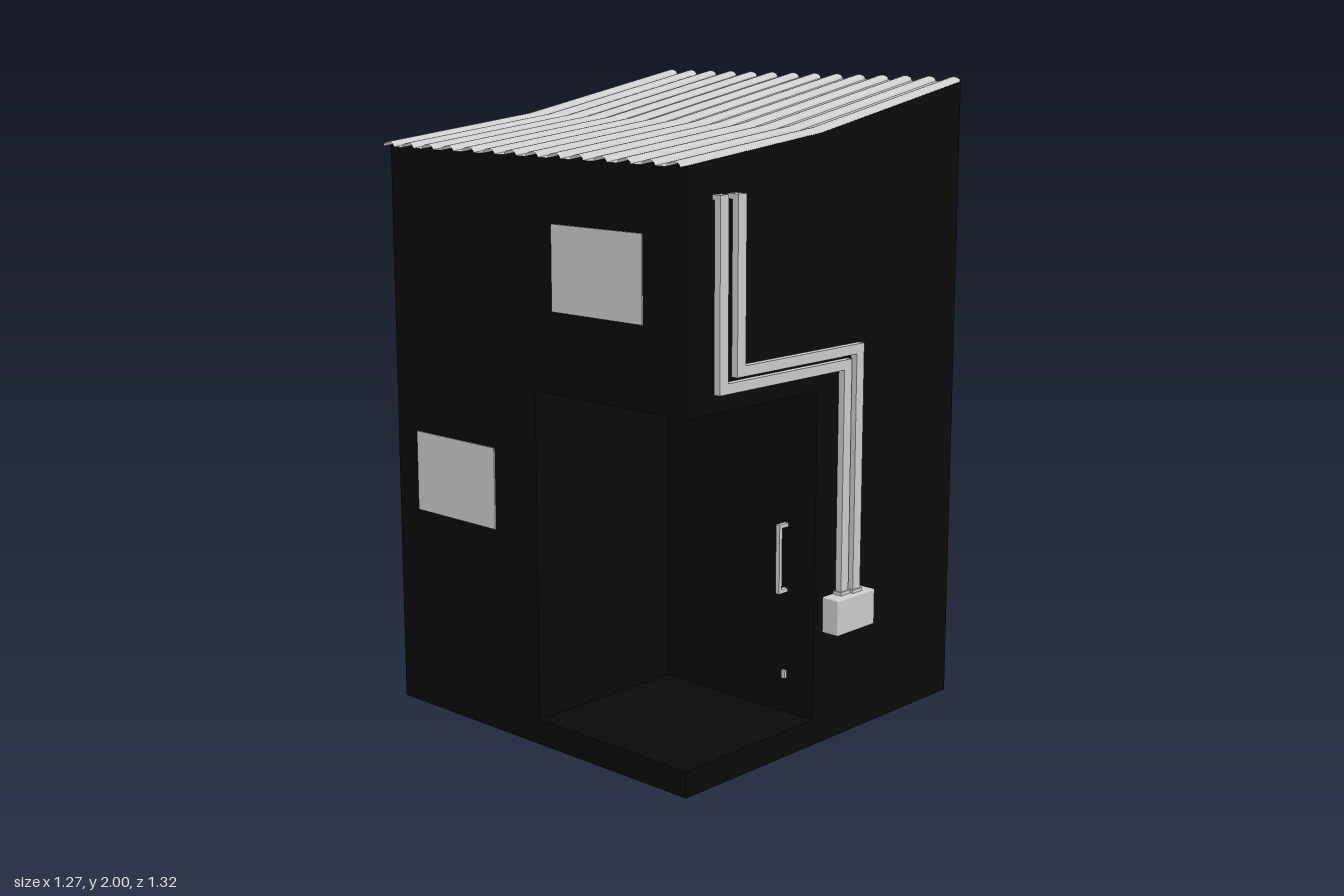
import * as THREE from 'three';
import { toCreasedNormals } from 'three/addons/utils/BufferGeometryUtils.js';
import { RoundedBoxGeometry } from 'three/addons/geometries/RoundedBoxGeometry.js';

const black = new THREE.MeshStandardMaterial({ color: 0x0a0a0a, side: THREE.DoubleSide });
const grey = new THREE.MeshStandardMaterial({ color: 0xcccccc });
const sheet = new THREE.MeshStandardMaterial({ color: 0xcccccc, side: THREE.DoubleSide });

// Main dimensions
const L = -0.615, R = 0.635, F = 0.6, B = -0.655;
const KINK = -0.04, ALCOVE_X = -0.05, ALCOVE_Z = -0.01, STEP = 0.08, CEIL = 1.1;
const EAVE = -0.638;

// Height of the bent roof at x
function roofY(x) {
  return x < KINK
    ? THREE.MathUtils.mapLinear(x, EAVE, KINK, 1.79, 1.857)
    : THREE.MathUtils.mapLinear(x, KINK, R, 1.857, 1.985);
}

function add(parent, name, geometry, material) {
  const mesh = new THREE.Mesh(geometry, material);
  mesh.name = name;
  parent.add(mesh);
  return mesh;
}

function outline(points) {
  return new THREE.Shape(points.map(([u, v]) => new THREE.Vector2(u, v)));
}

const rect = (u0, u1, v0, v1) => [[u0, v0], [u1, v0], [u1, v1], [u0, v1]];

// Flat wall: 'z' takes (x, y) points, 'x' takes (z, y), 'y' takes (x, z)
function wall(parent, name, axis, at, points) {
  const g = new THREE.ShapeGeometry(outline(points));
  if (axis === 'x') g.rotateY(-Math.PI / 2).translate(at, 0, 0);
  else if (axis === 'y') g.rotateX(Math.PI / 2).translate(0, at, 0);
  else g.translate(0, 0, at);
  return add(parent, name, g, black);
}

function box(parent, name, x0, x1, y0, y1, z0, z1, material = grey) {
  const g = new THREE.BoxGeometry(x1 - x0, y1 - y0, z1 - z0);
  g.translate((x0 + x1) / 2, (y0 + y1) / 2, (z0 + z1) / 2);
  return add(parent, name, g, material);
}

// Thin-walled shell, open below, with an entrance alcove in one front corner
function buildBody() {
  const body = new THREE.Group();
  body.name = 'body';
  const top = [[R, roofY(R)], [KINK, roofY(KINK)], [L, roofY(L)]];
  wall(body, 'frontWall', 'z', F, [[L, 0], [R, 0], ...top,
    [L, CEIL], [ALCOVE_X, CEIL], [ALCOVE_X, STEP], [L, STEP]]);
  wall(body, 'backWall', 'z', B, [[L, 0], [R, 0], ...top]);
  wall(body, 'tallSideWall', 'x', R, rect(B, F, 0, roofY(R)));
  wall(body, 'lowSideWall', 'x', L, [[B, 0], [F, 0], [F, STEP], [ALCOVE_Z, STEP],
    [ALCOVE_Z, CEIL], [F, CEIL], [F, roofY(L)], [B, roofY(L)]]);
  wall(body, 'alcoveBackWall', 'z', ALCOVE_Z, rect(L, ALCOVE_X, STEP, CEIL));
  wall(body, 'door', 'x', ALCOVE_X, rect(ALCOVE_Z, F, STEP, CEIL));
  wall(body, 'alcoveCeiling', 'y', CEIL, rect(L, ALCOVE_X, ALCOVE_Z, F));
  wall(body, 'stepTop', 'y', STEP, rect(L, ALCOVE_X, ALCOVE_Z, F));
  wall(body, 'stepUnderside', 'y', 0, rect(L, ALCOVE_X, ALCOVE_Z, F));
  return body;
}

// Corrugated sheet: rounded ribs with flat strips between, bent along one line
function buildRoof() {
  const roof = new THREE.Group();
  roof.name = 'roof';
  const RIBS = 14, STEPS = 8, PITCH = 0.0931, WIDTH = 0.052, Z0 = -0.664;
  const profile = [];
  for (let i = 0; i < RIBS; i++) {
    for (let j = 0; j <= STEPS; j++) {
      const a = (j / STEPS) * Math.PI;
      profile.push([Z0 + i * PITCH + WIDTH * (1 - Math.cos(a)) / 2, 0.015 * Math.sin(a)]);
    }
  }
  for (const [name, x0, x1] of [['lowRoofSheet', EAVE, KINK], ['highRoofSheet', KINK, R]]) {
    const g = new THREE.PlaneGeometry(1, 1, 1, profile.length - 1);
    const p = g.attributes.position;
    for (let i = 0; i < p.count; i++) {
      const x = i % 2 ? x1 : x0;
      const [z, lift] = profile[i >> 1];
      p.setXYZ(i, x, roofY(x) + lift, z);
    }
    add(roof, name, toCreasedNormals(g, 0.7), sheet);
  }
  return roof;
}

// Two stepped conduits running down the front into a junction box
function buildConduits() {
  const group = new THREE.Group();
  group.name = 'conduits';
  const W = 0.035, H = 0.03, TOP = 1.71, BOTTOM = 0.46;
  for (const [x, bend, drop, z] of [[-0.512, 1.156, 0.04, 0.608], [-0.45, 1.2, 0.085, 0.618]]) {
    const shape = outline([[x, TOP], [x, bend], [drop, bend], [drop, BOTTOM],
      [drop + W, BOTTOM], [drop + W, bend + H], [x + W, bend + H], [x + W, TOP]]);
    const g = new THREE.ExtrudeGeometry(shape, { depth: 0.022, bevelEnabled: false });
    add(group, 'conduit', g.translate(0, 0, z), grey);
    box(group, 'wallEntry', x, x + W, TOP - 0.015, TOP, F - 0.005, z + 0.001);
    box(group, 'conduitCollar', drop - 0.005, drop + W + 0.005, BOTTOM - 0.005, BOTTOM + 0.012,
      z - 0.004, z + 0.026);
  }
  const junction = add(group, 'junctionBox', new RoundedBoxGeometry(0.18, 0.113, 0.065, 2, 0.005), grey);
  junction.position.set(0.08, 0.405, 0.6275);
  return group;
}

// Pull handle and lock on the alcove door
function buildHandle() {
  const handle = new THREE.Group();
  handle.name = 'doorHandle';
  const z0 = 0.48, z1 = 0.495, x0 = -0.09;
  box(handle, 'handleBar', x0, x0 + 0.012, 0.465, 0.682, z0, z1);
  for (const y of [0.465, 0.67]) box(handle, 'handlePost', x0 + 0.012, ALCOVE_X, y, y + 0.012, z0, z1);
  box(handle, 'doorLock', -0.06, ALCOVE_X, 0.19, 0.215, z0, z1);
  return handle;
}

export function createModel() {
  const model = new THREE.Group();
  model.name = 'booth';
  model.add(buildBody(), buildRoof(), buildConduits(), buildHandle());
  // Grey panels on the low side wall
  box(model, 'lowerSidePanel', L - 0.004, L + 0.004, 0.645, 0.9, -0.56, -0.195);
  box(model, 'upperSidePanel', L - 0.004, L + 0.004, 1.345, 1.6, 0.07, 0.435);
  return model;
}
